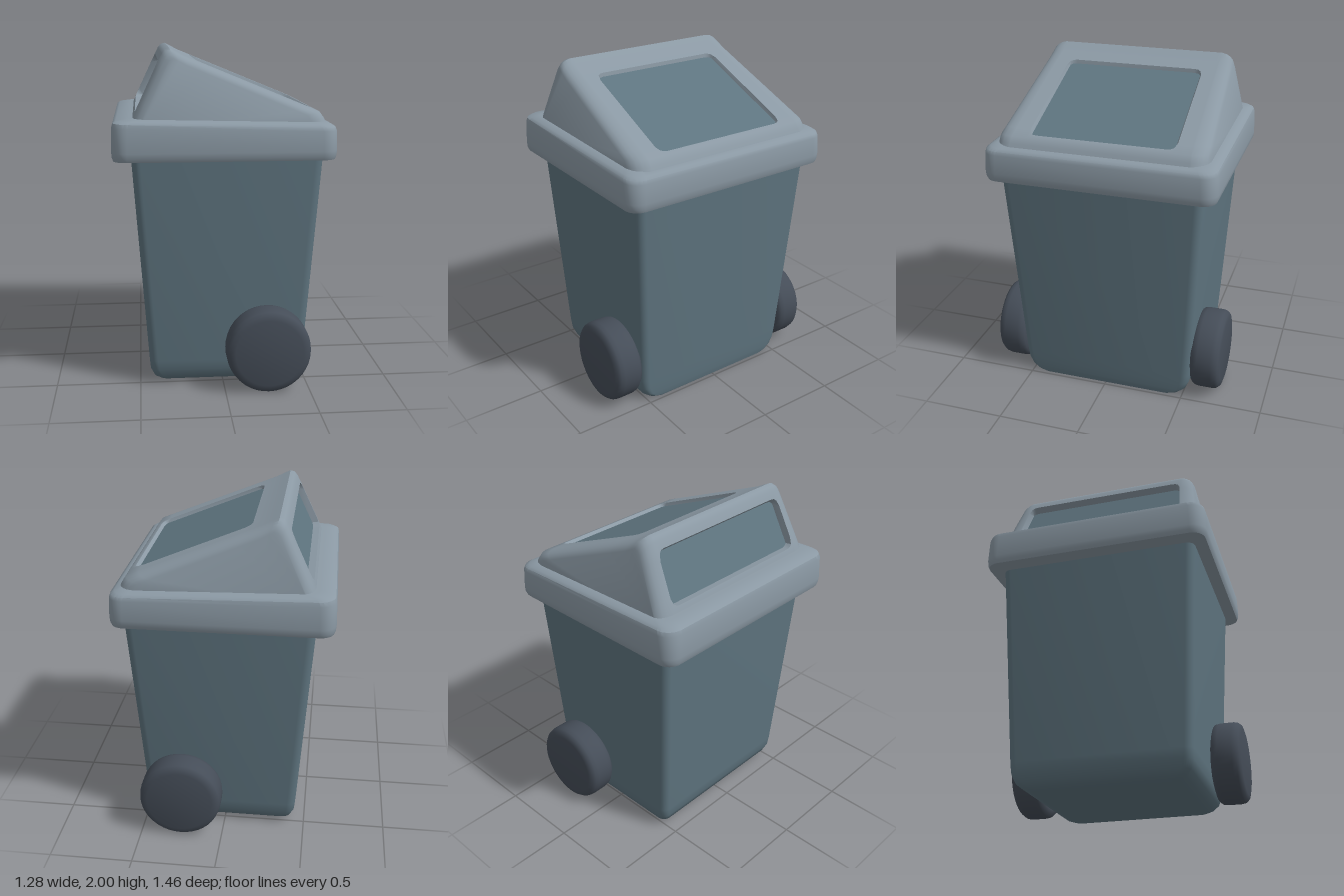
import * as THREE from 'three';
import { toCreasedNormals } from 'three/addons/utils/BufferGeometryUtils.js';

const bodyMat = new THREE.MeshStandardMaterial({ color: 0x5f7580 });
bodyMat.name = 'slate blue';
const lidMat = new THREE.MeshStandardMaterial({ color: 0x8b99a4 });
lidMat.name = 'light grey';
const wheelMat = new THREE.MeshStandardMaterial({ color: 0x454d58 });
wheelMat.name = 'charcoal';

// Joins equal-length loops of points into a closed skin with flat end caps.
// isPanel(i, j) sends a cell to a second geometry.
function loft(rows, isPanel = () => false) {
  const n = rows[0].length;
  const skin = [], panel = [];
  for (let j = 0; j < rows.length - 1; j++) {
    for (let i = 0; i < n; i++) {
      const k = (i + 1) % n;
      const a = rows[j][i], b = rows[j + 1][i], c = rows[j + 1][k], d = rows[j][k];
      (isPanel(i, j) ? panel : skin).push(...a, ...b, ...c, ...a, ...c, ...d);
    }
  }
  const first = rows[0], last = rows[rows.length - 1];
  for (let i = 1; i < n - 1; i++) {
    skin.push(...first[0], ...first[i], ...first[i + 1]);
    skin.push(...last[0], ...last[i + 1], ...last[i]);
  }
  return [skin, panel].map((p) => {
    const g = new THREE.BufferGeometry();
    g.setAttribute('position', new THREE.Float32BufferAttribute(p, 3));
    return p.length ? toCreasedNormals(g, 0.7) : g;
  });
}

// Horizontal rounded rectangle, tilted along x if wanted
function ring([y, x0, x1, zh, r, tilt = 0]) {
  const pts = [], steps = 6;
  for (let q = 0; q < 4; q++) {
    const cx = q === 0 || q === 3 ? x1 - r : x0 + r;
    const cz = q < 2 ? zh - r : r - zh;
    for (let s = 0; s <= steps; s++) {
      const a = (q + s / steps) * Math.PI / 2;
      const x = cx + r * Math.cos(a);
      pts.push([x, y + tilt * x, cz + r * Math.sin(a)]);
    }
  }
  return pts;
}

function named(name, geometry, material) {
  const m = new THREE.Mesh(geometry, material);
  m.name = name;
  return m;
}

// Hood cross-section at one z, with the two openings sunk into it
const STEEP = { half: 0.53, depth: 0.04, from: [-0.505, 1.645], to: [-0.37, 1.93] };
const SLOPE = { half: 0.44, depth: 0.02, from: [-0.15, 1.927], to: [0.525, 1.65] };
const WALL = 0.012;

function openingPoints(o, az) {
  const r = 0.05, e = Math.max(0, o.half - az);
  const shift = e < r ? r - Math.sqrt(r * r - (r - e) ** 2) : 0;
  const depth = o.depth * Math.min(1, e / WALL);
  const a = new THREE.Vector2(...o.from), b = new THREE.Vector2(...o.to);
  const d = b.clone().sub(a).normalize();
  const inward = new THREE.Vector2(d.y, -d.x);
  const at = (p, along, sink) => p.clone().addScaledVector(d, along).addScaledVector(inward, sink).toArray();
  return [at(a, shift, 0), at(a, shift + WALL, depth), at(b, -shift - WALL, depth), at(b, -shift, 0)];
}

function hoodSlice(z, scale) {
  const az = Math.abs(z);
  const profile = [
    [-0.54, 1.55], [-0.52, 1.61], ...openingPoints(STEEP, az),
    [-0.35, 1.97], [-0.332, 1.992], [-0.305, 2.0], [-0.275, 1.985], [-0.22, 1.956],
    ...openingPoints(SLOPE, az), [0.55, 1.64], [0.575, 1.605], [0.6, 1.55],
  ];
  return profile.map(([x, y]) => {
    const px = -0.12 + (x + 0.12) * scale, py = 1.55 + (y - 1.55) * scale;
    const lean = 0.13 * (py - 1.6) * (az / 0.63) ** 3;
    return [px, py, Math.sign(z) * (az - lean)];
  });
}

export function createModel() {
  const group = new THREE.Group();
  group.name = 'wheeledBin';

  // Tapered body, rounded underneath except along the wheel side
  const [body] = loft([
    [0, -0.35, 0.475, 0.44, 0.05],
    [0.012, -0.385, 0.476, 0.48, 0.05],
    [0.04, -0.415, 0.478, 0.515, 0.05],
    [0.09, -0.437, 0.482, 0.536, 0.05],
    [0.15, -0.443, 0.486, 0.543, 0.05],
    [1.42, -0.533, 0.572, 0.612, 0.05],
  ].map(ring));
  group.add(named('body', body, bodyMat));

  // Lid rim with a softly rounded, slightly tilted top
  const [rim] = loft([
    [1.38, -0.63, 0.63, 0.685, 0.08],
    [1.4, -0.637, 0.637, 0.694, 0.085],
    [1.43, -0.64, 0.64, 0.697, 0.09],
    [1.555, -0.637, 0.637, 0.692, 0.09, -0.02],
    [1.578, -0.63, 0.63, 0.685, 0.09, -0.023],
    [1.59, -0.612, 0.61, 0.667, 0.085, -0.023],
    [1.602, -0.54, 0.57, 0.635, 0.07, -0.023],
  ].map(ring));
  group.add(named('lidRim', rim, lidMat));

  // Hood: slices across z, mirrored about the middle
  const half = [
    [0.63, 0.87], [0.618, 0.925], [0.6, 0.96], [0.575, 0.985], [0.54, 1], [0.53, 1],
    [0.518, 1], [0.5, 1], [0.475, 1], [0.44, 1], [0.428, 1], [0.41, 1], [0.385, 1],
  ];
  const slices = [...half.map(([z, s]) => [-z, s]), ...half.reverse()];
  const inside = (o, j) => [j, j + 1].every((k) => Math.abs(slices[k][0]) <= o.half - WALL + 1e-6);
  const [hood, panels] = loft(
    slices.map(([z, s]) => hoodSlice(z, s)),
    (i, j) => (i === 3 && inside(STEEP, j)) || (i === 12 && inside(SLOPE, j)),
  );
  group.add(named('lidHood', hood, lidMat), named('lidFlaps', panels, bodyMat));

  // Wheels
  const wheelProfile = [
    [0, 0], [0.2, 0], [0.23, 0.008], [0.245, 0.025], [0.25, 0.05],
    [0.25, 0.135], [0.245, 0.16], [0.23, 0.178], [0.2, 0.186], [0, 0.186],
  ].map(([x, y]) => new THREE.Vector2(x, y));
  const wheelGeo = toCreasedNormals(new THREE.LatheGeometry(wheelProfile, 40), 0.7);
  for (const side of [1, -1]) {
    const wheel = named(side > 0 ? 'frontWheel' : 'backWheel', wheelGeo, wheelMat);
    wheel.rotation.x = side * Math.PI / 2;
    wheel.position.set(0.255, 0.25, side * 0.542);
    group.add(wheel);
  }
  return group;
}
